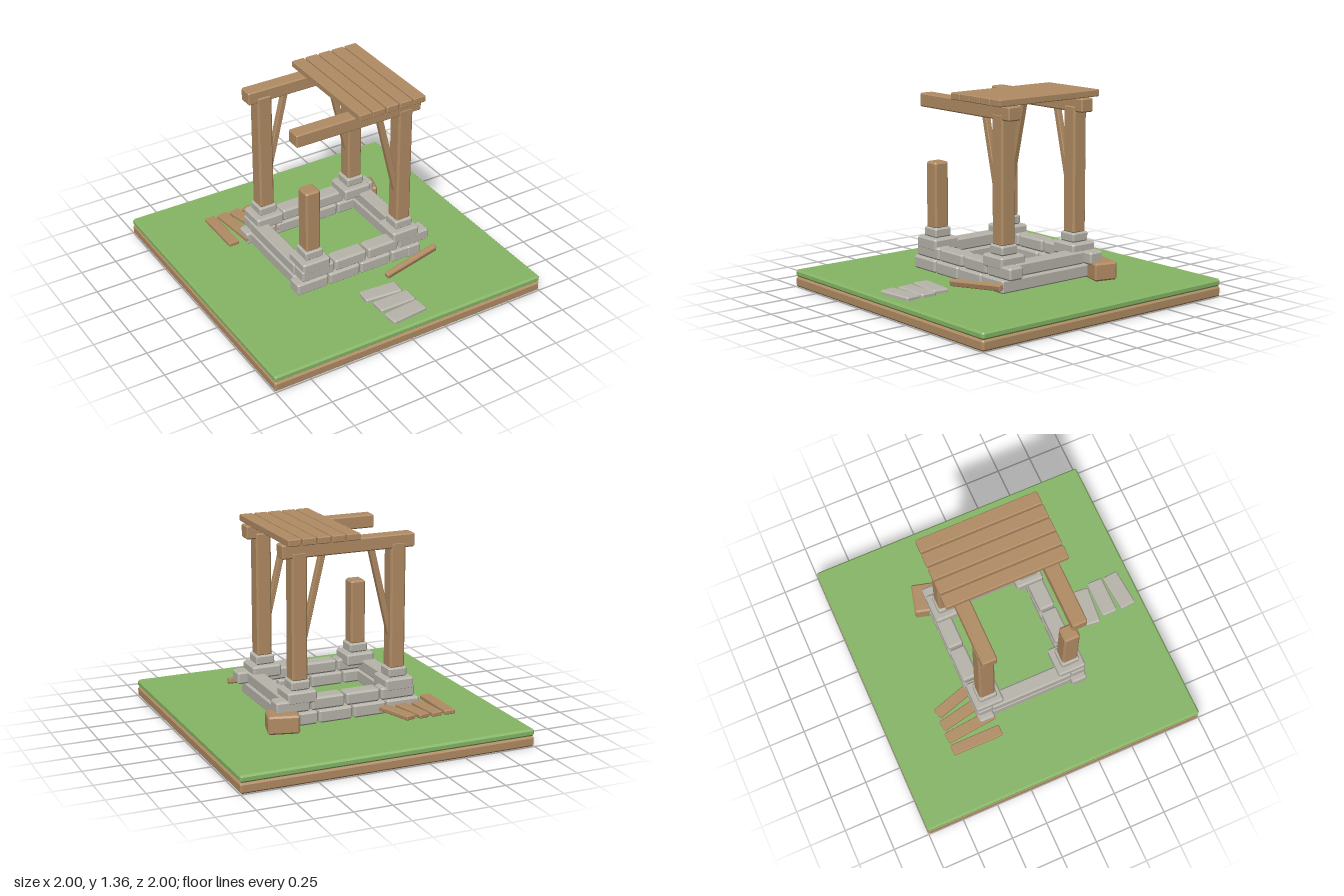
import * as THREE from 'three';
import { ConvexGeometry } from 'three/addons/geometries/ConvexGeometry.js';

const grass = new THREE.MeshStandardMaterial({ name: 'grass', color: 0x86b566 });
const wood = new THREE.MeshStandardMaterial({ name: 'wood', color: 0xb08b63 });
const stone = new THREE.MeshStandardMaterial({ name: 'stone', color: 0xb6b3aa });

// Box with flat chamfered edges, centred on the origin
function chamferBox(w, h, d, c) {
  const pts = [];
  for (const sx of [-1, 1]) for (const sy of [-1, 1]) for (const sz of [-1, 1]) {
    const x = w / 2, y = h / 2, z = d / 2;
    pts.push(new THREE.Vector3(sx * x, sy * (y - c), sz * (z - c)));
    pts.push(new THREE.Vector3(sx * (x - c), sy * y, sz * (z - c)));
    pts.push(new THREE.Vector3(sx * (x - c), sy * (y - c), sz * z));
  }
  return new ConvexGeometry(pts);
}

export function createModel() {
  const model = new THREE.Group();
  model.name = 'ruinedShelter';

  const block = (name, mat, size, pos, rot = [0, 0, 0], c = 0.01) => {
    const mesh = new THREE.Mesh(chamferBox(...size, c), mat);
    mesh.name = name;
    mesh.position.set(...pos);
    mesh.rotation.set(...rot);
    model.add(mesh);
    return mesh;
  };
  // Block given by its extents
  const span = (name, mat, x0, x1, y0, y1, z0, z1, c) =>
    block(name, mat, [x1 - x0, y1 - y0, z1 - z0],
      [(x0 + x1) / 2, (y0 + y1) / 2, (z0 + z1) / 2], [0, 0, 0], c);

  // Ground slab
  span('soil', wood, -1, 1, 0, 0.07, -1, 1, 0.012);
  span('turf', grass, -1, 1, 0.07, 0.118, -1, 1, 0.012);

  // Front and back stone courses, with staggered joints
  const lower = [[-0.485, -0.255], [-0.245, -0.015], [-0.005, 0.225], [0.235, 0.45]];
  const upper = [[-0.45, -0.21], [-0.2, 0.035], [0.05, 0.28], [0.29, 0.52]];
  for (const s of [-1, 1]) {
    const z0 = s > 0 ? 0.285 : -0.395, z1 = z0 + 0.11;
    for (const [a, b] of lower) span('lowerWallStone', stone, a, b, 0.135, 0.222, z0, z1, 0.012);
    for (const [a, b] of upper) span('upperWallStone', stone, a, b, 0.228, 0.312, z0, z1, 0.012);
  }
  // Long side stones
  for (const x of [-0.405, 0.405]) {
    const e = x > 0 ? 0.4 : 0.29;
    span('lowerSideStone', stone, x - 0.05, x + 0.05, 0.135, 0.222, -e, e, 0.01);
    span('upperSideStone', stone, x - 0.05, x + 0.05, 0.228, 0.312, -0.29, 0.29, 0.01);
  }

  // Corner footings, posts and braces
  for (const sx of [-1, 1]) for (const sz of [-1, 1]) {
    const x = sx * 0.342, z = sz * 0.3;
    const broken = sx < 0 && sz > 0;
    block('footing', stone, [0.2, 0.083, 0.195], [x, 0.322, z], [0, 0, 0], 0.012);
    block('footingCap', stone, [0.13, 0.064, 0.13], [x, 0.395, z], [0, 0, 0], 0.01);
    const top = broken ? 0.865 : 1.26;
    block(broken ? 'brokenPost' : 'post', wood, [0.105, top - 0.42, 0.11],
      [x, (top + 0.42) / 2, z], [0, 0, 0], 0.012);
    if (!broken) {
      block('brace', wood, [0.038, 0.64, 0.04], [sx * 0.24, 0.93, z], [0, 0, sx * 0.235], 0.004);
    }
  }

  // Top beams and remaining roof boards
  for (const z of [-0.302, 0.302]) {
    span('beam', wood, -0.457, 0.457, 1.22, 1.31, z - 0.05, z + 0.05, 0.008);
  }
  for (let i = 0; i < 5; i++) {
    block('roofBoard', wood, [0.09, 0.045, 0.83], [i * 0.1, 1.336, 0], [0, 0, 0], 0.005);
  }

  // Fallen boards fanned out behind
  [-0.58, -0.472, -0.365, -0.255].forEach((x, i) => {
    block('fallenBoard', wood, [0.075, 0.03, 0.355], [x, 0.177, -0.466], [0, i * 0.1, 0], 0.005);
  });

  // Loose timber in front and sawn chunk at the back corner
  block('looseTimber', wood, [0.43, 0.04, 0.04], [0.312, 0.186, 0.5], [0.25, 0.17, 0.045], 0.006);
  block('timberChunk', wood, [0.205, 0.12, 0.16], [0.482, 0.185, -0.394], [0, -0.26, 0], 0.012);

  // Stepping slabs
  [[0, 0.62, -0.09], [0.022, 0.747, 0], [0.022, 0.876, 0.09]].forEach(([x, z, r]) => {
    block('steppingSlab', stone, [0.262, 0.045, 0.11], [x, 0.122, z], [0, r, 0], 0.01);
  });

  return model;
}
